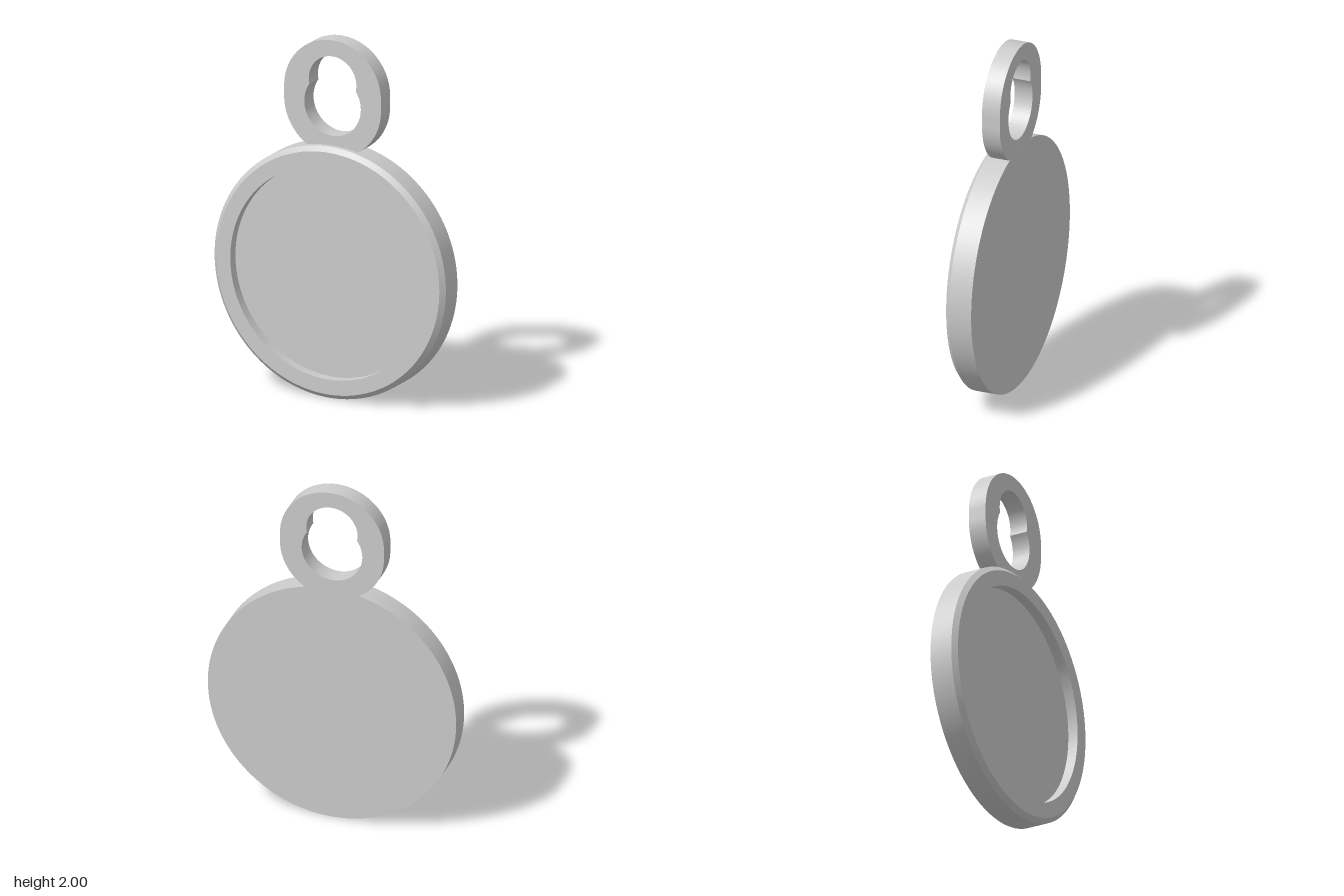
import * as THREE from 'three';
import { toCreasedNormals } from 'three/addons/utils/BufferGeometryUtils.js';

const DISC_R = 0.705, BACK = -0.0775, FRONT = 0.0775;

// Where two circles stacked on the y axis cross: half-width x and height y
function crossing(y0, r0, y1, r1) {
  const d = y1 - y0;
  const a = (d * d + r0 * r0 - r1 * r1) / (2 * d);
  return { x: Math.sqrt(r0 * r0 - a * a), y: y0 + a };
}

export function createModel() {
  const group = new THREE.Group();
  const material = new THREE.MeshStandardMaterial({ color: 0xcccccc });

  function add(name, geometry) {
    const mesh = new THREE.Mesh(toCreasedNormals(geometry, 0.4), material);
    mesh.name = name;
    group.add(mesh);
    return mesh;
  }

  // Round body: flat back, chamfered front edge, shallow recess
  const bevel = 0.026, recessR = 0.595, floor = 0.02;
  const profile = [
    [0, BACK], [DISC_R, BACK], [DISC_R, FRONT - bevel], [DISC_R - bevel, FRONT],
    [recessR, FRONT], [recessR, floor], [0, floor],
  ].map(([r, z]) => new THREE.Vector2(r, z));
  const body = add('discBody', new THREE.LatheGeometry(profile, 128).rotateX(Math.PI / 2));
  body.position.y = DISC_R;

  // Hanging loop: rounded outline that ends on the rim of the disc
  const R = 0.295, topY = 2 - R, lowY = 1.645;
  const foot = crossing(DISC_R, DISC_R, lowY, R);
  const footAngle = Math.atan2(foot.y - lowY, foot.x);
  const rimAngle = Math.atan2(foot.y - DISC_R, foot.x);
  const outline = new THREE.Shape();
  outline.absarc(0, lowY, R, footAngle, 0, false);
  outline.absarc(0, topY, R, 0, Math.PI, false);
  outline.absarc(0, lowY, R, Math.PI, Math.PI - footAngle, false);
  outline.absarc(0, DISC_R, DISC_R, Math.PI - rimAngle, rimAngle, true);

  // Keyhole opening: a smaller circle over a larger one
  const smallY = 1.765, smallR = 0.145, largeY = 1.636, largeR = 0.172;
  const waist = crossing(largeY, largeR, smallY, smallR);
  const a = Math.atan2(waist.y - smallY, waist.x);
  const b = Math.atan2(waist.y - largeY, waist.x);
  const hole = new THREE.Path();
  hole.absarc(0, smallY, smallR, a, Math.PI - a, false);
  hole.absarc(0, largeY, largeR, Math.PI - b, 2 * Math.PI + b, false);
  outline.holes.push(hole);

  const loop = add('hangingLoop', new THREE.ExtrudeGeometry(outline, {
    depth: 0.103, bevelEnabled: false, curveSegments: 48,
  }));
  loop.position.z = BACK;

  return group;
}
